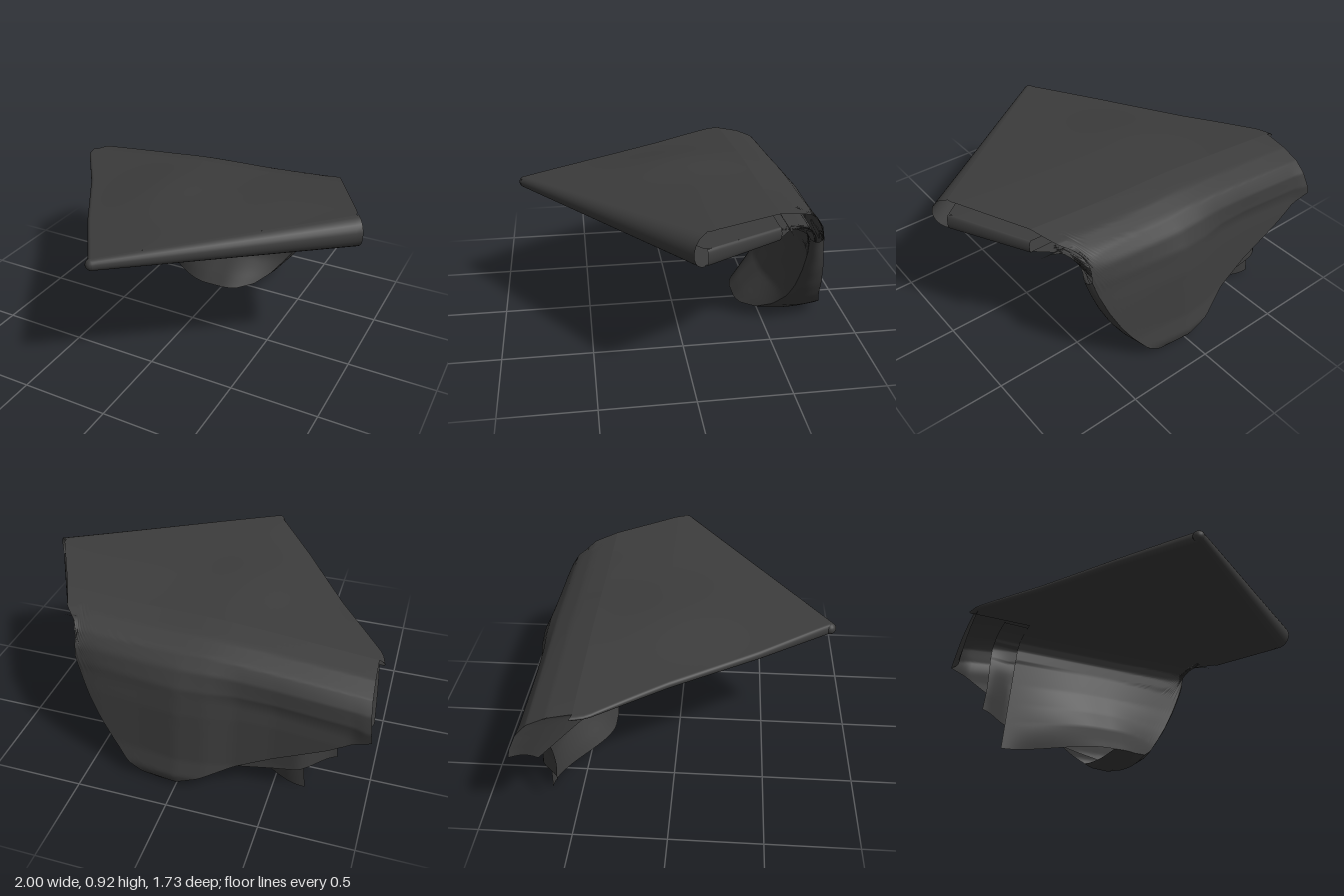
import * as THREE from 'three';

const { lerp, smoothstep } = THREE.MathUtils;
const material = new THREE.MeshStandardMaterial({ color: 0x3c3c3c, side: THREE.DoubleSide });

// Piecewise linear lookup in a short table of [key, value], keys rising
function table(pts, k) {
  if (k <= pts[0][0]) return pts[0][1];
  for (let i = 1; i < pts.length; i++) {
    const [a, va] = pts[i - 1], [b, vb] = pts[i];
    if (k <= b) return lerp(va, vb, (k - a) / (b - a));
  }
  return pts[pts.length - 1][1];
}

// Smooth cloth surface from a rule (u, v) => [x, y, z]
function sheet(name, rule, nu = 40, nv = 40) {
  const pos = [], idx = [];
  for (let j = 0; j <= nv; j++) {
    for (let i = 0; i <= nu; i++) {
      pos.push(...rule(i / nu, j / nv));
      if (i < nu && j < nv) {
        const a = j * (nu + 1) + i, b = a + nu + 1;
        idx.push(a, b, a + 1, b, b + 1, a + 1);
      }
    }
  }
  const g = new THREE.BufferGeometry();
  g.setAttribute('position', new THREE.Float32BufferAttribute(pos, 3));
  g.setIndex(idx);
  g.computeVertexNormals();
  const mesh = new THREE.Mesh(g, material);
  mesh.name = name;
  return mesh;
}

// Outline of the flat part, by z
const BACK = -0.45, FRONT = 0.83, UNDER = 0.76;
const leftX = z => table([[-0.45, -0.955], [-0.37, -0.935], [0, -0.67], [0.45, -0.39], [0.83, -0.13]], z);
const rightX = z => table([[-0.45, 0.73], [-0.04, 0.95], [0.83, -0.13]], z);

// Height of the top ply, with a soft hump and a slope towards the back bend
function topY(x, z) {
  const hump = 0.035 * Math.exp(-((x + 0.2) ** 2) / 0.08 - ((z + 0.05) ** 2) / 0.12);
  const slope = 0.08 * Math.max(0, -0.1 - z) * smoothstep(x, -0.2, 0.6);
  return 0.854 + 0.087 * x - 0.027 * z + 0.004 * Math.sin(5 * x + 3 * z) + hump - slope;
}
const middleY = (x, z) => lerp(UNDER, topY(x, z), 0.5);

// Flat ply: rows from the front corner to the back bend
const flat = (name, height) => sheet(name, (u, v) => {
  const z = lerp(FRONT, BACK, v);
  const x = lerp(leftX(z), rightX(z), u);
  return [x, height(x, z), z];
});

// Rounded fold joining the bottom ply to an upper one along an edge of the flat part
const edgeFold = (name, edge, nx, nz, upper, depth) => sheet(name, (u, v) => {
  const [x, z] = edge(u);
  const top = upper(x, z), r = (top - UNDER) / 2, a = Math.PI * (0.5 - v);
  const out = Math.cos(a) * (depth ?? r);
  return [x + nx * out, (top + UNDER) / 2 + Math.sin(a) * r, z + nz * out];
}, 40, 12);

// Lower hems of the hanging plies, by x
const curve = [[0.1, 0.025], [0.2, 0.05], [0.28, 0.11], [0.36, 0.21], [0.43, 0.32], [0.5, 0.46], [0.55, 0.59], [0.6, 0.76]];
const outerHem = x => table([[-1, 0.53], [-0.78, 0.4], [0, 0.04], ...curve], x);
const middleHem = x => table([[-0.82, 0.22], [-0.62, 0.18], [0, 0.06], ...curve], x);
const innerHem = x => table([[-0.66, 0.02], ...curve], x);

// Side profiles of the bends: z by height
const outerProfile = [[0.02, -0.84], [0.05, -0.86], [0.1, -0.87], [0.2, -0.845], [0.5, -0.815],
  [0.65, -0.79], [0.74, -0.745], [0.81, -0.68], [0.86, -0.58], [0.89, -0.45]];
const outerPull = [[-1, 0.02], [-0.9, 0.06], [-0.5, 0.07], [-0.3, 0.055], [-0.15, 0.015], [0, 0],
  [0.2, 0.02], [0.45, 0.04], [0.6, 0.06]];
function outerZ(x, y) {
  const h = topY(x, BACK);
  return table(outerProfile, y * 0.89 / h) + smoothstep(h - y, 0.05, 0.3) * table(outerPull, x);
}
const innerProfile = [[0.02, -0.38], [0.08, -0.43], [0.2, -0.545], [0.32, -0.6], [0.45, -0.64],
  [0.6, -0.66], [0.68, -0.66], [0.73, -0.63], [0.755, -0.55], [0.765, -0.45]];
function innerZ(x, y) {
  const belly = smoothstep(x, -0.66, -0.1) * (1 - 0.7 * smoothstep(x, 0, 0.45));
  const z = table(innerProfile, y);
  return y < 0.6 ? lerp(-0.665, z, belly) : z;
}
function middleZ(x, y) {
  const forward = 0.12 * smoothstep(-x, 0.62, 0.82) * smoothstep(0.7 - y, 0, 0.4);
  return lerp(innerZ(x, Math.max(y, 0.45)), outerZ(x, y), y > 0.7 ? 0.3 : 0.45) + forward;
}

// Hanging ply: columns running over the back bend and down to the hem
const hanging = (name, xTop, xBottom, hem, startY, zOf) => sheet(name, (u, v) => {
  const p = Math.pow(v, 1.35);
  const right = lerp(0.73, 0.575, Math.min(1, p * 1.7));
  const x = lerp(lerp(xTop, xBottom, p), right, u);
  const top = startY(x);
  const y = lerp(top, Math.min(hem(x), top - 0.02), p);
  return [x, y, zOf(x, y)];
}, 60, 60);

export function createModel() {
  const cloth = new THREE.Group();
  cloth.name = 'foldedCloth';

  // Flat folded part
  cloth.add(
    flat('topPly', topY),
    flat('middlePly', middleY),
    flat('bottomPly', () => UNDER),
    edgeFold('frontFold', u => [lerp(-0.13, 0.95, u), lerp(0.83, -0.04, u)], 0.63, 0.77, topY),
    edgeFold('sideFold', u => {
      const z = lerp(FRONT, BACK, u);
      return [leftX(z), z];
    }, -0.83, -0.3, topY, 0.038),
    edgeFold('innerFold', u => [lerp(0.95, 0.73, u), lerp(-0.04, BACK, u)], 0.88, -0.47, middleY, 0.015),
    // Rounded front corner
    sheet('cornerFold', (u, v) => {
      const a = Math.PI * (0.5 - v), t = lerp(-1.92, 0.69, u);
      const r = (topY(-0.13, FRONT) - UNDER) / 2, out = Math.cos(a) * 0.033;
      return [-0.13 + Math.sin(t) * out, UNDER + r + Math.sin(a) * r, FRONT + Math.cos(t) * out];
    }, 10, 10),
  );

  // Plies hanging over the back
  cloth.add(
    hanging('outerHangingPly', -0.955, -0.995, outerHem, x => topY(x, BACK), outerZ),
    hanging('middleHangingPly', -0.76, -0.82, middleHem, () => 0.77, middleZ),
    hanging('innerHangingPly', -0.61, -0.67, innerHem, () => 0.765, innerZ),
  );

  // Curved fold joining outer and inner plies at the lower side
  cloth.add(sheet('lowerFold', (u, v) => {
    const x = lerp(-0.05, 0.575, u), yo = outerHem(x), yi = innerHem(x);
    const bulge = Math.sin(Math.PI * v) * 0.015;
    return [x + bulge * u, Math.max(0, lerp(yo, yi, v) - bulge), lerp(outerZ(x, yo), innerZ(x, yi), v)];
  }, 40, 10));

  // Draped corner along the side edge of the outer ply
  cloth.add(sheet('sideCorner', (u, v) => {
    const xBack = lerp(-0.955, -0.995, v);
    const y = lerp(topY(xBack, BACK), outerHem(xBack), v);
    const front = lerp(-0.36, -0.63, Math.pow(v, 0.85));
    const x = lerp(lerp(-0.935, -0.985, Math.sqrt(v)), xBack, u);
    return [x + 0.02 * Math.sin(u * Math.PI) * v, y, lerp(front, outerZ(xBack, y), u)];
  }, 24, 24));

  return cloth;
}
